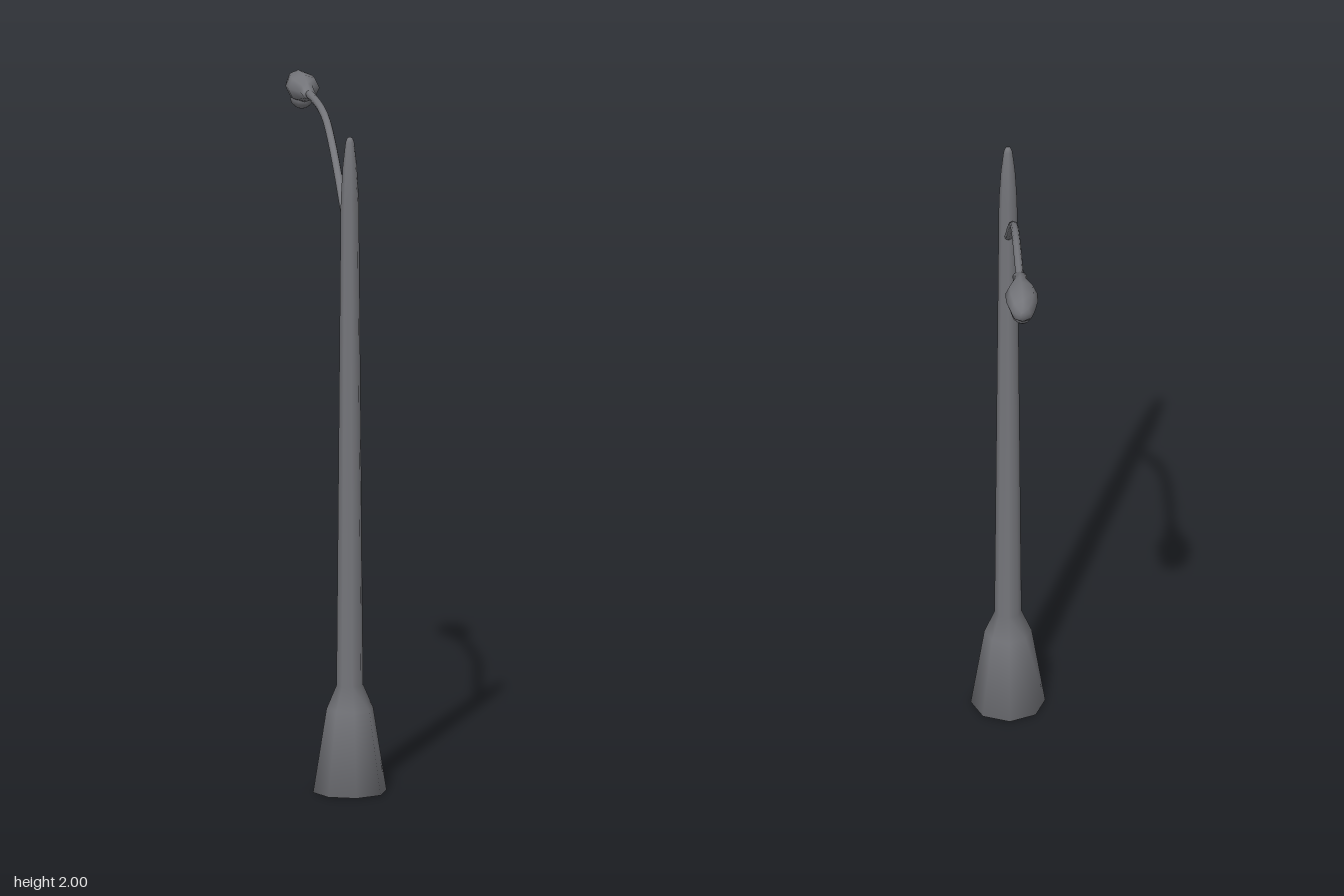
import * as THREE from 'three';

const SIDES = 8;
const POLE_Z = 0.38;

// Smooth closed skin through elliptical sections [z, centre y, half width, half height], running towards -z
function loft(sections) {
  const pos = [], idx = [];
  for (const [z, y, rx, ry] of sections) {
    for (let i = 0; i < SIDES; i++) {
      const a = (i / SIDES) * Math.PI * 2;
      pos.push(Math.cos(a) * rx, y + Math.sin(a) * ry, z);
    }
  }
  for (let s = 0; s < sections.length - 1; s++) {
    for (let i = 0; i < SIDES; i++) {
      const j = (i + 1) % SIDES;
      const a = s * SIDES + i, b = s * SIDES + j, c = a + SIDES, d = b + SIDES;
      idx.push(a, c, b, b, c, d);
    }
  }
  const last = (sections.length - 1) * SIDES;
  for (let i = 1; i < SIDES - 1; i++) {
    idx.push(0, i, i + 1);
    idx.push(last, last + i + 1, last + i);
  }
  const geo = new THREE.BufferGeometry();
  geo.setAttribute('position', new THREE.Float32BufferAttribute(pos, 3));
  geo.setIndex(idx);
  geo.computeVertexNormals();
  return geo;
}

export function createModel() {
  const model = new THREE.Group();
  model.name = 'streetLamp';
  const metal = new THREE.MeshStandardMaterial({ color: 0x75767b });
  metal.name = 'grey metal';

  const add = (name, geo) => {
    const mesh = new THREE.Mesh(geo, metal);
    mesh.name = name;
    model.add(mesh);
    return mesh;
  };

  // Octagonal post with flared foot and tapered tip
  const profile = [
    [0, 0], [0.11, 0], [0.07, 0.25], [0.04, 0.32], [0.027, 1.78],
    [0.021, 1.88], [0.013, 1.95], [0.008, 1.963], [0, 1.966],
  ].map(([r, y]) => new THREE.Vector2(r, y));
  add('post', new THREE.LatheGeometry(profile, SIDES)).position.z = POLE_Z;

  // Curved arm rising from the post and levelling out at the lamp
  const path = new THREE.CatmullRomCurve3([
    [1.655, 0.37], [1.73, 0.28], [1.81, 0.19], [1.885, 0.09],
    [1.935, 0], [1.955, -0.09], [1.96, -0.18], [1.96, -0.3],
  ].map(([y, z]) => new THREE.Vector3(0, y, z)));
  add('arm', new THREE.TubeGeometry(path, 20, 0.012, SIDES));

  // Lamp housing with a narrow collar
  add('lampHousing', loft([
    [-0.286, 1.958, 0.021, 0.014],
    [-0.326, 1.958, 0.021, 0.028],
    [-0.38, 1.958, 0.047, 0.041],
    [-0.425, 1.958, 0.047, 0.042],
    [-0.474, 1.958, 0.036, 0.038],
    [-0.485, 1.956, 0.022, 0.026],
    [-0.492, 1.955, 0.008, 0.01],
  ]));

  // Shallow lens bowl under the housing
  const lens = add('lens', new THREE.SphereGeometry(1, 12, 6, 0, Math.PI * 2, Math.PI / 2, Math.PI / 2));
  lens.scale.set(0.034, 0.035, 0.052);
  lens.position.set(0, 1.926, -0.42);

  return model;
}
